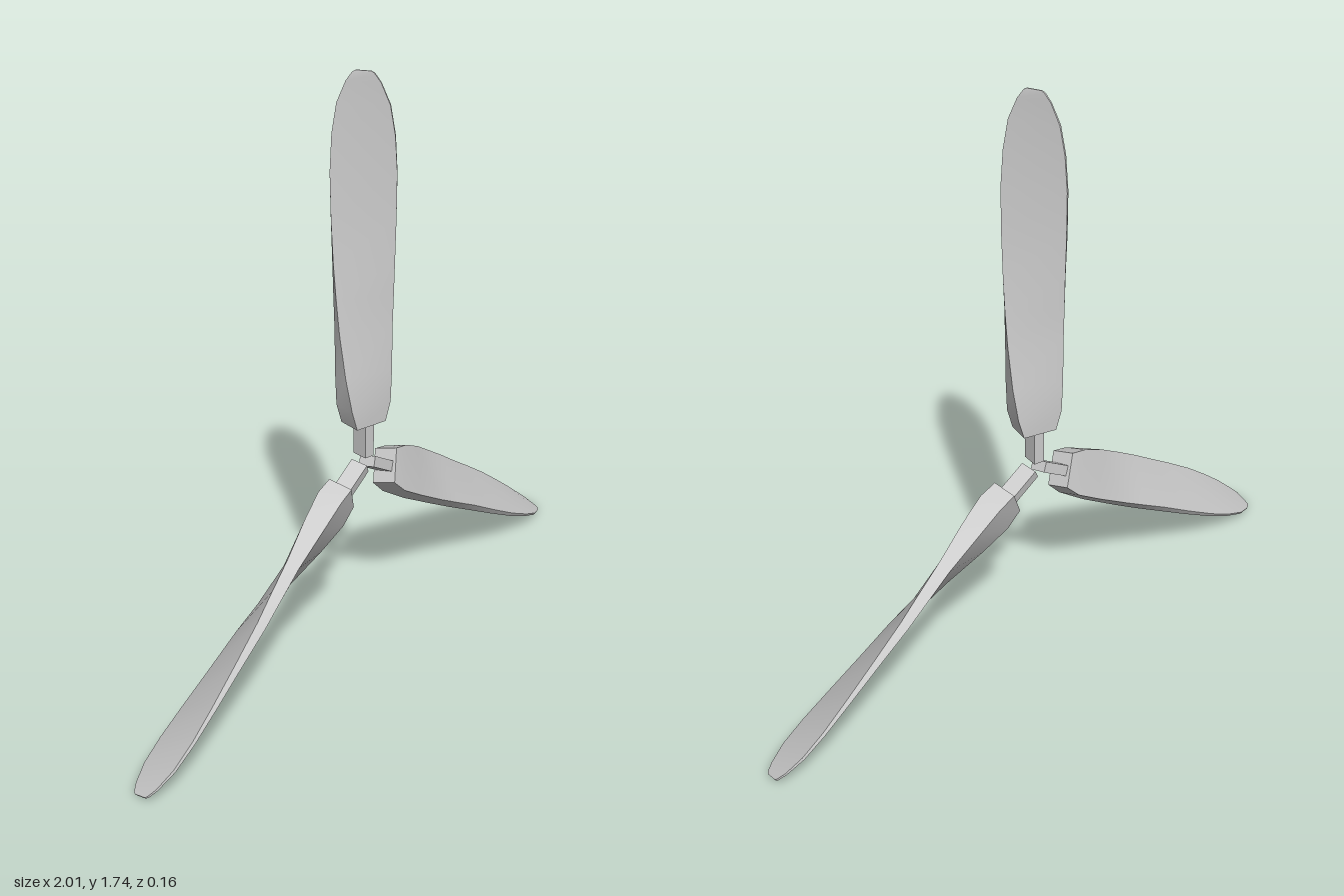
import * as THREE from 'three';
import { toCreasedNormals } from 'three/addons/utils/BufferGeometryUtils.js';

// Loft of rectangles along y: each station is [y, half chord, half thickness, twist in degrees]
function loft(stations) {
  const pos = [], idx = [], last = 4 * (stations.length - 1);
  stations.forEach(([y, c, t, deg], i) => {
    const cos = Math.cos(deg * Math.PI / 180), sin = Math.sin(deg * Math.PI / 180);
    for (const [u, v] of [[c, t], [-c, t], [-c, -t], [c, -t]]) {
      pos.push(u * cos - v * sin, y, u * sin + v * cos);
    }
    if (i === 0) return;
    for (let k = 0; k < 4; k++) {
      const a = 4 * (i - 1) + k, b = 4 * (i - 1) + (k + 1) % 4;
      idx.push(b, a, a + 4, b, a + 4, b + 4);
    }
  });
  idx.push(0, 1, 2, 0, 2, 3, last, last + 2, last + 1, last, last + 3, last + 2);
  const geo = new THREE.BufferGeometry();
  geo.setAttribute('position', new THREE.Float32BufferAttribute(pos, 3));
  geo.setIndex(idx);
  return toCreasedNormals(geo, 0.5);
}

export function createModel() {
  const model = new THREE.Group();
  model.name = 'propeller';
  const material = new THREE.MeshStandardMaterial({ color: 0xcccccc });

  // Distances are measured outwards from the hub centre
  const bladeGeo = loft([
    [0.125, 0.052, 0.037, 16],
    [0.185, 0.069, 0.038, 17],
    [0.285, 0.076, 0.031, 24],
    [0.415, 0.080, 0.020, 33],
    [0.515, 0.083, 0.017, 40],
    [0.615, 0.086, 0.014, 47],
    [0.745, 0.090, 0.010, 52],
    [0.875, 0.092, 0.007, 57],
    [0.98, 0.087, 0.005, 62],
    [1.065, 0.074, 0.004, 66],
    [1.125, 0.049, 0.003, 69],
    [1.15, 0.031, 0.003, 71],
    [1.155, 0.022, 0.002, 72],
  ]);
  const shaftGeo = loft([[0.02, 0.016, 0.026, 11], [0.13, 0.016, 0.026, 11]]);

  // Three identical arms around the hub axis
  ['top', 'left', 'right'].forEach((side, i) => {
    const arm = new THREE.Group();
    arm.name = side + 'Arm';
    const blade = new THREE.Mesh(bladeGeo, material);
    blade.name = side + 'Blade';
    const shaft = new THREE.Mesh(shaftGeo, material);
    shaft.name = side + 'Shaft';
    arm.add(blade, shaft);
    arm.position.y = 0.585;
    arm.rotation.z = -i * 2 * Math.PI / 3;
    model.add(arm);
  });
  return model;
}
